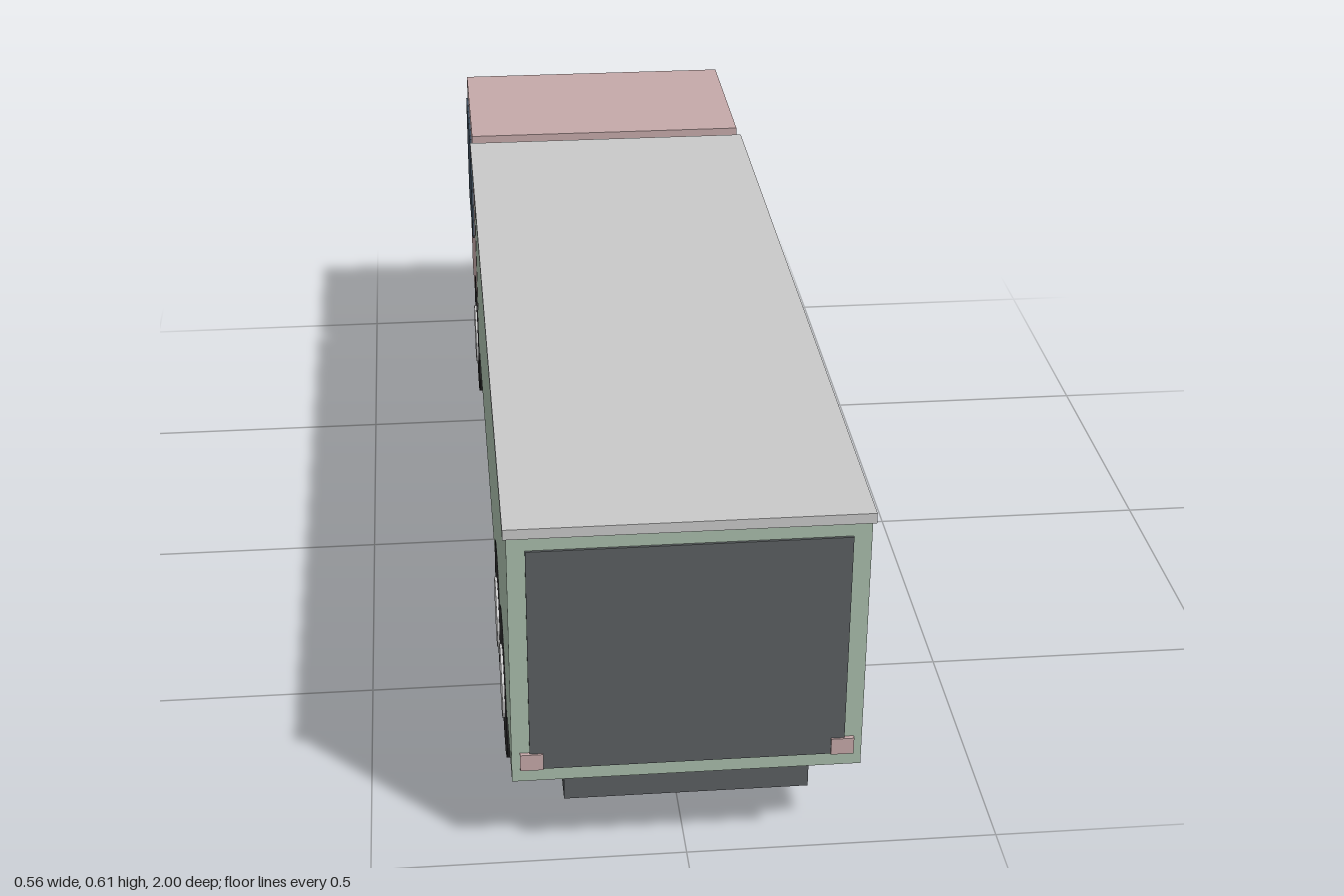
import * as THREE from 'three';

export function createModel() {
  const truck = new THREE.Group();
  truck.name = 'boxTruck';

  const paint = (name, color) => {
    const m = new THREE.MeshStandardMaterial({ color });
    m.name = name;
    return m;
  };
  const pink = paint('dustyPink', 0xc5a9a9);
  const green = paint('sageGreen', 0xa9bdab);
  const lightGrey = paint('lightGrey', 0xc9c9c9);
  const darkGrey = paint('darkGrey', 0x5b5f62);
  const glass = paint('darkBlueGlass', 0x3e4d5c);
  const rubber = paint('blackRubber', 0x2a2a2a);
  rubber.flatShading = lightGrey.flatShading = true;

  const add = (name, geometry, material, parent = truck) => {
    const mesh = new THREE.Mesh(geometry, material);
    mesh.name = name;
    parent.add(mesh);
    return mesh;
  };
  // Box given by its extents along each axis
  const box = (name, material, [x0, x1], [y0, y1], [z0, z1]) => {
    const mesh = add(name, new THREE.BoxGeometry(x1 - x0, y1 - y0, z1 - z0), material);
    mesh.position.set((x0 + x1) / 2, (y0 + y1) / 2, (z0 + z1) / 2);
  };

  // Chassis, cargo body, roof and rear door
  box('chassis', darkGrey, [-0.193, 0.193], [0.107, 0.155], [-0.965, 0.985]);
  box('cargoBody', green, [-0.274, 0.274], [0.151, 0.592], [-0.557, 0.993]);
  box('cargoRoof', lightGrey, [-0.279, 0.279], [0.59, 0.607], [-0.565, 0.998]);
  box('rearDoor', darkGrey, [-0.246, 0.246], [0.175, 0.567], [0.99, 0.997]);

  // Cab: side profile (z, y) extruded across the width, with a raked upper front
  const profile = new THREE.Shape([
    [-0.595, 0.147], [-0.595, 0.61], [-0.957, 0.61], [-0.988, 0.53], [-0.988, 0.147],
  ].map(([z, y]) => new THREE.Vector2(z, y)));
  const cab = new THREE.ExtrudeGeometry(profile, { depth: 0.548, bevelEnabled: false });
  cab.translate(0, 0, -0.274).rotateY(-Math.PI / 2);
  add('cab', cab, pink);

  box('windscreen', glass, [-0.24, 0.24], [0.342, 0.526], [-0.995, -0.987]);
  box('grille', darkGrey, [-0.168, 0.168], [0.17, 0.263], [-0.995, -0.987]);

  // Mirrored windows and lamps
  for (const [side, s] of [['left', 1], ['right', -1]]) {
    const span = (a, b) => (s > 0 ? [a, b] : [-b, -a]);
    box(`${side}Window`, glass, span(0.271, 0.278), [0.355, 0.578], [-0.91, -0.66]);
    box(`${side}Headlight`, green, span(0.222, 0.261), [0.172, 0.206], [-1, -0.987]);
    box(`${side}TailLight`, pink, span(0.225, 0.261), [0.175, 0.204], [0.99, 1]);

    // Wheels: front axle and two rear axles
    for (const [axle, z] of [['Front', -0.67], ['Middle', 0.46], ['Rear', 0.675]]) {
      const wheel = new THREE.Group();
      wheel.name = `${side}${axle}Wheel`;
      wheel.position.set(s * 0.246, 0.125, z);
      const tyre = new THREE.CylinderGeometry(0.128, 0.128, 0.058, 14).rotateZ(Math.PI / 2);
      const hub = new THREE.CylinderGeometry(0.062, 0.062, 0.012, 14).rotateZ(Math.PI / 2);
      add('tyre', tyre, rubber, wheel);
      add('hub', hub, lightGrey, wheel).position.x = s * 0.027;
      truck.add(wheel);
    }
  }
  return truck;
}
